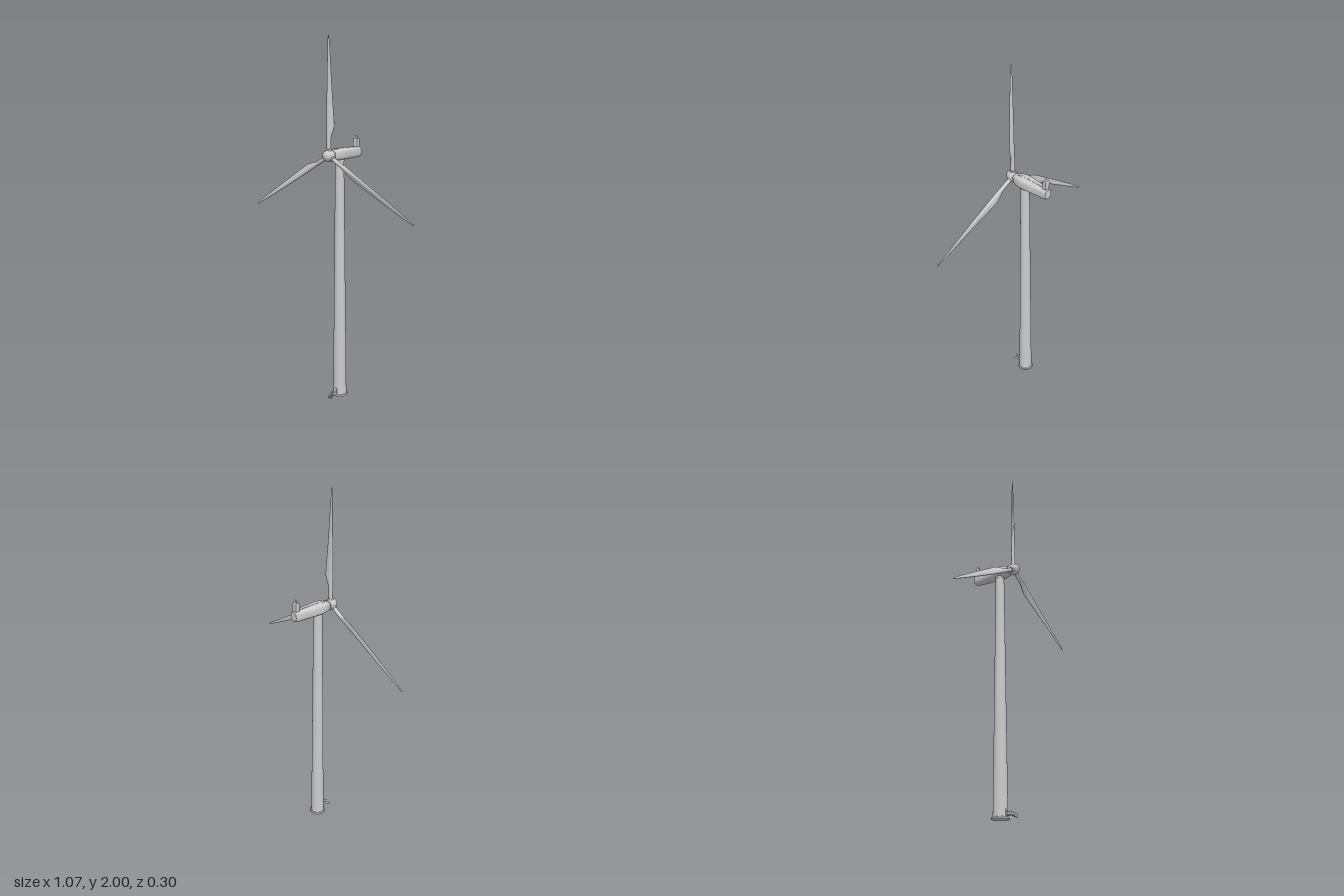
import * as THREE from 'three';

const grey = new THREE.MeshStandardMaterial({ color: 0xcccccc, side: THREE.DoubleSide });

function add(parent, name, geometry, x = 0, y = 0, z = 0) {
  const mesh = new THREE.Mesh(geometry, grey);
  mesh.name = name;
  mesh.position.set(x, y, z);
  parent.add(mesh);
  return mesh;
}

const box = (w, h, d) => new THREE.BoxGeometry(w, h, d);

// Thin round bar between two points
function bar(parent, name, a, b, r) {
  const path = new THREE.LineCurve3(new THREE.Vector3(...a), new THREE.Vector3(...b));
  return add(parent, name, new THREE.TubeGeometry(path, 1, r, 6));
}

// Smooth skin over equal-sized rings, with flat end caps
function loft(rings) {
  const n = rings[0].length, pos = [], index = [];
  rings.forEach(ring => ring.forEach(p => pos.push(...p)));
  for (let i = 0; i < rings.length - 1; i++) {
    for (let j = 0; j < n; j++) {
      const a = i * n + j, b = i * n + (j + 1) % n;
      index.push(a, b, b + n, a, b + n, a + n);
    }
  }
  const last = rings.length - 1;
  for (const [k, flip] of [[0, true], [last, false]]) {
    const base = pos.length / 3;
    rings[k].forEach(p => pos.push(...p));
    for (let j = 1; j < n - 1; j++) {
      index.push(base, base + (flip ? j + 1 : j), base + (flip ? j : j + 1));
    }
  }
  const g = new THREE.BufferGeometry();
  g.setAttribute('position', new THREE.Float32BufferAttribute(pos, 3));
  g.setIndex(index);
  g.computeVertexNormals();
  return g;
}

// Blade along +y: round root, then a twisted, tapering aerofoil
function bladeGeometry() {
  // radius, leading edge x, trailing edge x, half thickness, sharpness, twist in degrees
  const stations = [
    [0.015, -0.011, 0.011, 0.011, 0, 20],
    [0.085, -0.011, 0.011, 0.011, 0, 20],
    [0.105, -0.011, 0.015, 0.0105, 0.25, 20],
    [0.135, -0.012, 0.026, 0.009, 0.6, 20],
    [0.16, -0.012, 0.032, 0.008, 0.7, 19],
    [0.19, -0.012, 0.031, 0.007, 0.7, 17],
    [0.30, -0.011, 0.024, 0.005, 0.7, 11],
    [0.42, -0.009, 0.017, 0.0035, 0.7, 7],
    [0.54, -0.006, 0.010, 0.0022, 0.7, 4],
    [0.605, -0.004, 0.005, 0.0012, 0.7, 2],
    [0.619, -0.002, 0.002, 0.0006, 0.7, 2],
  ];
  const n = 20;
  return loft(stations.map(([r, lead, trail, half, sharp, deg]) => {
    const s = Math.sin(deg * Math.PI / 180), c = Math.cos(deg * Math.PI / 180);
    return Array.from({ length: n }, (_, j) => {
      const t = j / n * Math.PI * 2;
      const x = (lead + trail) / 2 + (trail - lead) / 2 * Math.cos(t);
      const z = -half * Math.sin(t) * (1 - sharp * Math.cos(t));
      return [x * c + z * s, r, -x * s + z * c];
    });
  }));
}

// Nacelle along z with rounded-square cross-sections
function nacelleGeometry() {
  // z, half width, bottom y, top y
  const stations = [
    [-0.148, 0.021, 1.363, 1.411],
    [-0.144, 0.024, 1.359, 1.414],
    [-0.10, 0.028, 1.357, 1.415],
    [-0.04, 0.034, 1.355, 1.416],
    [0.01, 0.039, 1.354, 1.416],
    [0.035, 0.039, 1.354, 1.415],
    [0.06, 0.034, 1.355, 1.412],
    [0.08, 0.028, 1.357, 1.407],
    [0.086, 0.025, 1.359, 1.404],
  ];
  const n = 32, round = v => Math.sign(v) * Math.abs(v) ** 0.6;
  return loft(stations.map(([z, w, y0, y1]) => Array.from({ length: n }, (_, j) => {
    const t = j / n * Math.PI * 2;
    return [w * round(Math.cos(t)), (y0 + y1) / 2 + (y1 - y0) / 2 * round(Math.sin(t)), z];
  })));
}

export function createModel() {
  const model = new THREE.Group();
  model.name = 'windTurbine';
  const towerZ = 0.02, hubY = 1.381, hubZ = 0.112;

  // Tower with foot flange, bolts and door
  const tower = new THREE.Group();
  tower.name = 'tower';
  tower.position.z = towerZ;
  model.add(tower);
  add(tower, 'towerShaft', new THREE.CylinderGeometry(0.024, 0.038, 1.36, 40), 0, 0.68, 0);
  add(tower, 'footFlange', new THREE.CylinderGeometry(0.045, 0.047, 0.008, 40), 0, 0.004, 0);
  add(tower, 'towerTopRing', new THREE.CylinderGeometry(0.026, 0.026, 0.01, 40), 0, 1.352, 0);
  for (let i = 0; i < 20; i++) {
    const a = (i + 0.5) / 20 * Math.PI * 2;
    add(tower, 'flangeBolt', new THREE.CylinderGeometry(0.0015, 0.0015, 0.004, 6),
      0.042 * Math.sin(a), 0.009, 0.042 * Math.cos(a));
  }
  add(tower, 'door', box(0.016, 0.03, 0.004), 0, 0.032, 0.0365);

  // Entrance stairs with platform and handrails
  const stairs = new THREE.Group();
  stairs.name = 'entranceStairs';
  model.add(stairs);
  add(stairs, 'platform', box(0.022, 0.002, 0.032), 0, 0.016, 0.072);
  for (let i = 0; i < 4; i++) {
    add(stairs, 'tread', box(0.02, 0.0015, 0.006), 0, 0.003 + i * 0.0033, 0.109 - i * 0.006);
  }
  for (const x of [-0.011, 0.011]) {
    bar(stairs, 'stringer', [x, 0.001, 0.112], [x, 0.016, 0.087], 0.001);
    bar(stairs, 'stairRail', [x, 0.018, 0.112], [x, 0.033, 0.087], 0.0008);
    bar(stairs, 'platformRail', [x, 0.033, 0.087], [x, 0.033, 0.056], 0.0008);
    bar(stairs, 'lowerPost', [x, 0.001, 0.112], [x, 0.018, 0.112], 0.0008);
    bar(stairs, 'upperPost', [x, 0, 0.087], [x, 0.033, 0.087], 0.0008);
  }

  // Nacelle, roof hatch and rear cooler with sensors
  const nacelle = new THREE.Group();
  nacelle.name = 'nacelle';
  model.add(nacelle);
  add(nacelle, 'nacelleShell', nacelleGeometry());
  add(nacelle, 'roofHatch', box(0.02, 0.004, 0.02), 0, 1.413, 0.052);
  add(nacelle, 'roofRidge', box(0.008, 0.002, 0.13), 0, 1.416, -0.045);
  const cooler = new THREE.Shape([[-0.142, 1.408], [-0.117, 1.408], [-0.119, 1.455],
    [-0.124, 1.462], [-0.139, 1.462], [-0.142, 1.457]].map(([z, y]) => new THREE.Vector2(-z, y)));
  const coolerMesh = add(nacelle, 'cooler',
    new THREE.ExtrudeGeometry(cooler, { depth: 0.026, bevelEnabled: false }), -0.013, 0, 0);
  coolerMesh.rotation.y = Math.PI / 2;
  for (const x of [-0.006, 0.006]) {
    bar(nacelle, 'sensorMast', [x, 1.46, -0.13], [x, 1.475, -0.13], 0.0008);
    add(nacelle, 'sensorHead', new THREE.SphereGeometry(0.002, 8, 6), x, 1.475, -0.13);
  }

  // Rotor: shaft, domed hub and three blades
  const rotor = new THREE.Group();
  rotor.name = 'rotor';
  rotor.position.set(0, hubY, hubZ);
  model.add(rotor);
  const shaft = add(rotor, 'rotorShaft', new THREE.CylinderGeometry(0.022, 0.022, 0.02, 32), 0, 0, -0.026);
  shaft.rotation.x = Math.PI / 2;
  const profile = [[0, -0.022], [0.026, -0.022], [0.029, -0.019], [0.031, -0.008], [0.031, 0.006],
    [0.028, 0.018], [0.022, 0.028], [0.013, 0.035], [0, 0.038]];
  const hub = add(rotor, 'hub',
    new THREE.LatheGeometry(profile.map(p => new THREE.Vector2(...p)), 36));
  hub.rotation.x = Math.PI / 2;
  const blade = bladeGeometry();
  for (let i = 0; i < 3; i++) {
    const arm = new THREE.Group();
    arm.name = 'bladeArm';
    arm.rotation.z = i * Math.PI * 2 / 3;
    rotor.add(arm);
    add(arm, 'blade', blade);
    add(arm, 'bladeCollar', new THREE.CylinderGeometry(0.014, 0.015, 0.014, 24), 0, 0.029, 0);
  }
  return model;
}
